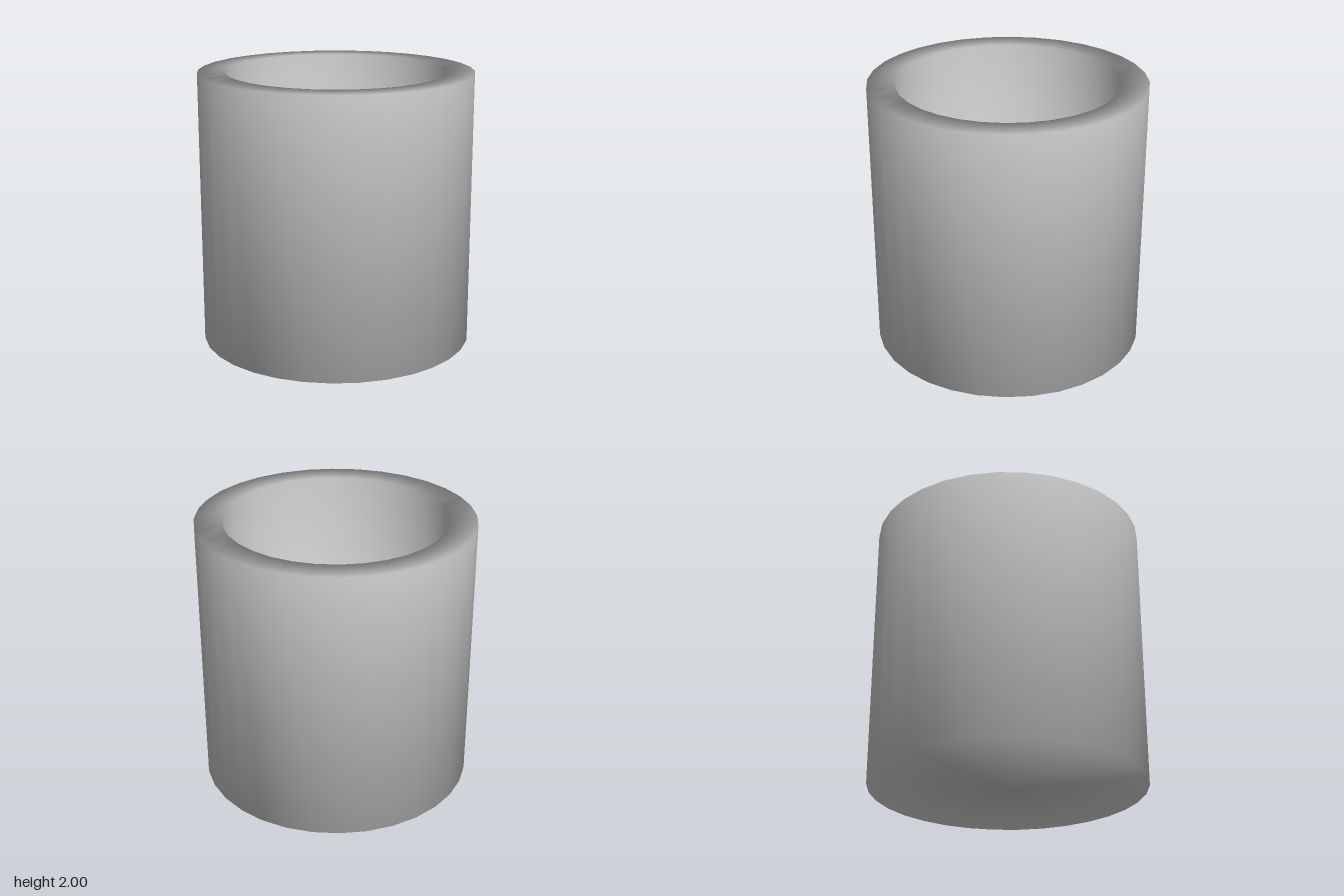
import * as THREE from 'three';

export function createModel() {
  const model = new THREE.Group();
  model.name = 'cup';

  const height = 2, outerRadius = 1, innerRadius = 0.8, floorHeight = 0.2, sides = 32;

  // Closed wall section: underside, outer wall, rim, inner wall, floor.
  // The lathe averages normals at the corners, giving soft shading throughout.
  const profile = [
    [0, 0],
    [outerRadius, 0],
    [outerRadius, height],
    [innerRadius, height],
    [innerRadius, floorHeight],
    [0, floorHeight],
  ].map(([r, y]) => new THREE.Vector2(r, y));

  const body = new THREE.Mesh(
    new THREE.LatheGeometry(profile, sides),
    new THREE.MeshStandardMaterial({ color: 0xcccccc })
  );
  body.name = 'cupBody';
  model.add(body);

  return model;
}
